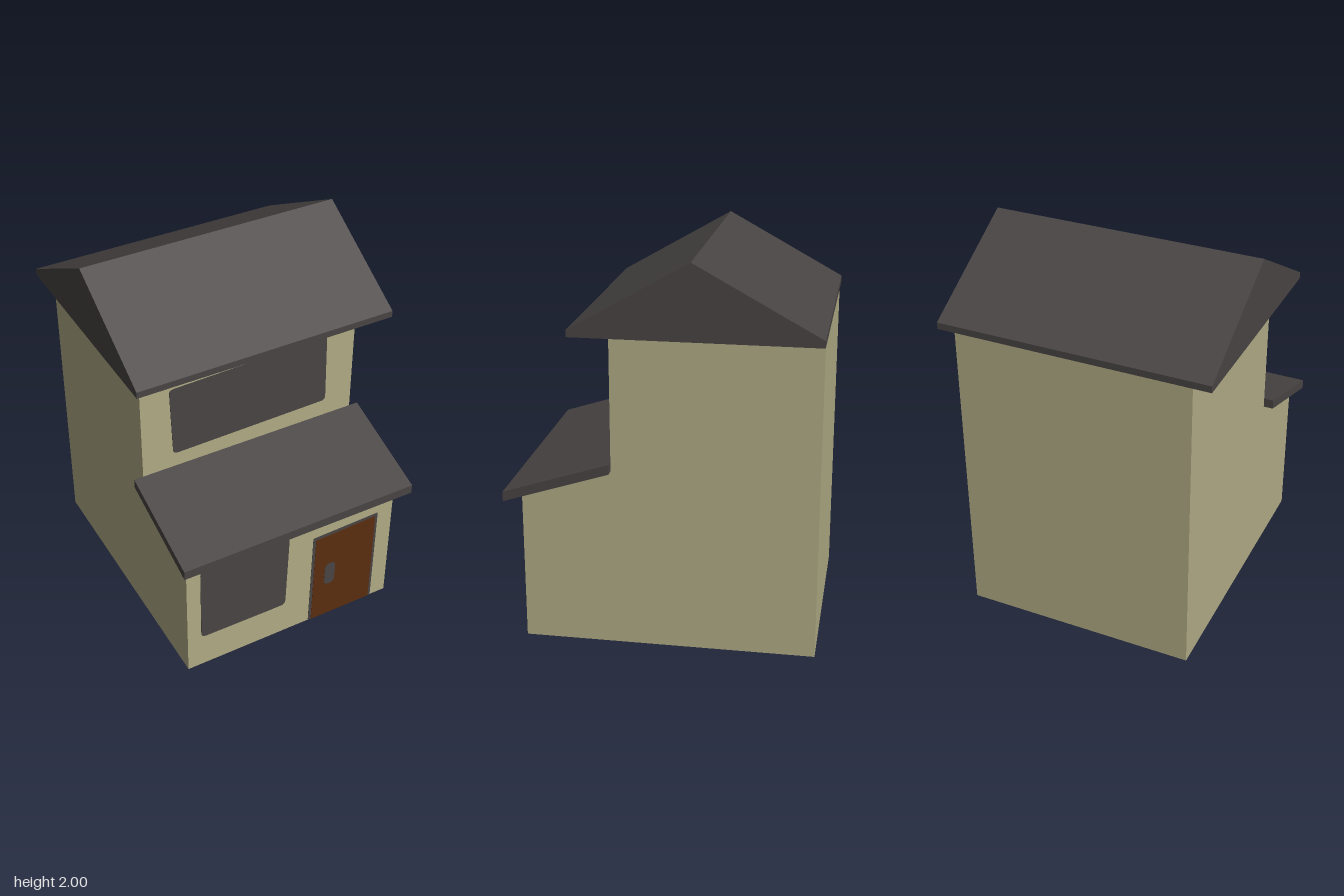
import * as THREE from 'three';

const mat = (name, color, side = THREE.FrontSide) => {
  const m = new THREE.MeshStandardMaterial({ color, side });
  m.name = name;
  return m;
};

export function createModel() {
  const house = new THREE.Group();
  house.name = 'house';
  const plaster = mat('plaster', 0xb1ab85, THREE.DoubleSide);
  const slate = mat('slate', 0x484443);
  const wood = mat('doorWood', 0x5a2d0f);

  const add = (name, geometry, material) => {
    const mesh = new THREE.Mesh(geometry, material);
    mesh.name = name;
    house.add(mesh);
    return mesh;
  };
  const toShape = (pts) => new THREE.Shape(pts.map(([a, b]) => new THREE.Vector2(a, b)));

  const HALF = 0.61, BACK = -0.783, FRONT = 0.7, STEP = 0.245;
  const LOW = 0.783, MID = 0.93, TOP = 1.63;

  // Side walls: one stepped outline, mirrored left and right
  const outline = toShape([[BACK, 0], [FRONT, 0], [FRONT, LOW], [STEP, MID], [STEP, TOP], [BACK, TOP]]);
  for (const [name, s] of [['leftWall', 1], ['rightWall', -1]]) {
    const wall = add(name, new THREE.ShapeGeometry(outline).rotateY(-Math.PI / 2), plaster);
    wall.position.x = s * HALF;
  }

  // Front and back walls; the house is open underneath
  const crossWall = (name, z, y0, y1) => {
    const wall = add(name, new THREE.PlaneGeometry(HALF * 2, y1 - y0), plaster);
    wall.position.set(0, (y0 + y1) / 2, z);
    if (z < 0) wall.rotation.y = Math.PI;
  };
  crossWall('lowerFrontWall', FRONT, 0, LOW);
  crossWall('upperFrontWall', STEP, MID, TOP);
  crossWall('backWall', BACK, 0, TOP);

  // Roofs: (z, y) profiles extruded across the width
  const roof = (name, half, pts) => add(name,
    new THREE.ExtrudeGeometry(toShape(pts), { depth: half * 2, bevelEnabled: false })
      .rotateY(-Math.PI / 2).translate(half, 0, 0), slate);
  roof('mainRoof', 0.702, [[-0.787, 1.625], [0.427, 1.625], [0.427, 1.66], [-0.165, 2], [-0.787, 1.66]]);
  roof('porchRoof', 0.66, [[STEP, MID], [0.785, 0.755], [0.785, 0.805], [STEP, 0.98]]);

  // Thin plate with softened corners, set through a wall so it shows inside too
  const plate = (name, pts, r, z, thickness, material) => {
    const shape = new THREE.Shape();
    pts.forEach((p, i) => {
      const c = new THREE.Vector2(...p);
      const toward = (q) => new THREE.Vector2(...q).sub(c).setLength(r).add(c);
      const a = toward(pts[(i + pts.length - 1) % pts.length]);
      const b = toward(pts[(i + 1) % pts.length]);
      if (i) shape.lineTo(a.x, a.y); else shape.moveTo(a.x, a.y);
      shape.quadraticCurveTo(c.x, c.y, b.x, b.y);
    });
    shape.closePath();
    const geometry = new THREE.ExtrudeGeometry(shape, { depth: thickness, bevelEnabled: false, curveSegments: 4 });
    add(name, geometry.translate(0, 0, z - thickness / 2), material);
  };

  // Windows
  plate('upperWindow', [[-0.44, 1.062], [0.452, 1.078], [0.443, 1.486], [-0.453, 1.462]], 0.025, STEP, 0.005, slate);
  plate('lowerWindow', [[-0.532, 0.204], [-0.033, 0.2], [-0.02, 0.675], [-0.532, 0.675]], 0.03, FRONT, 0.005, slate);

  // Door with frame and handle
  plate('doorFrame', [[0.117, 0], [0.517, 0], [0.52, 0.61], [0.125, 0.598]], 0.006, FRONT, 0.003, slate);
  plate('door', [[0.134, 0], [0.503, 0], [0.505, 0.592], [0.142, 0.578]], 0.006, FRONT, 0.006, wood);
  plate('doorHandle', [[0.204, 0.228], [0.267, 0.228], [0.27, 0.375], [0.207, 0.375]], 0.028, FRONT, 0.009, slate);

  return house;
}
